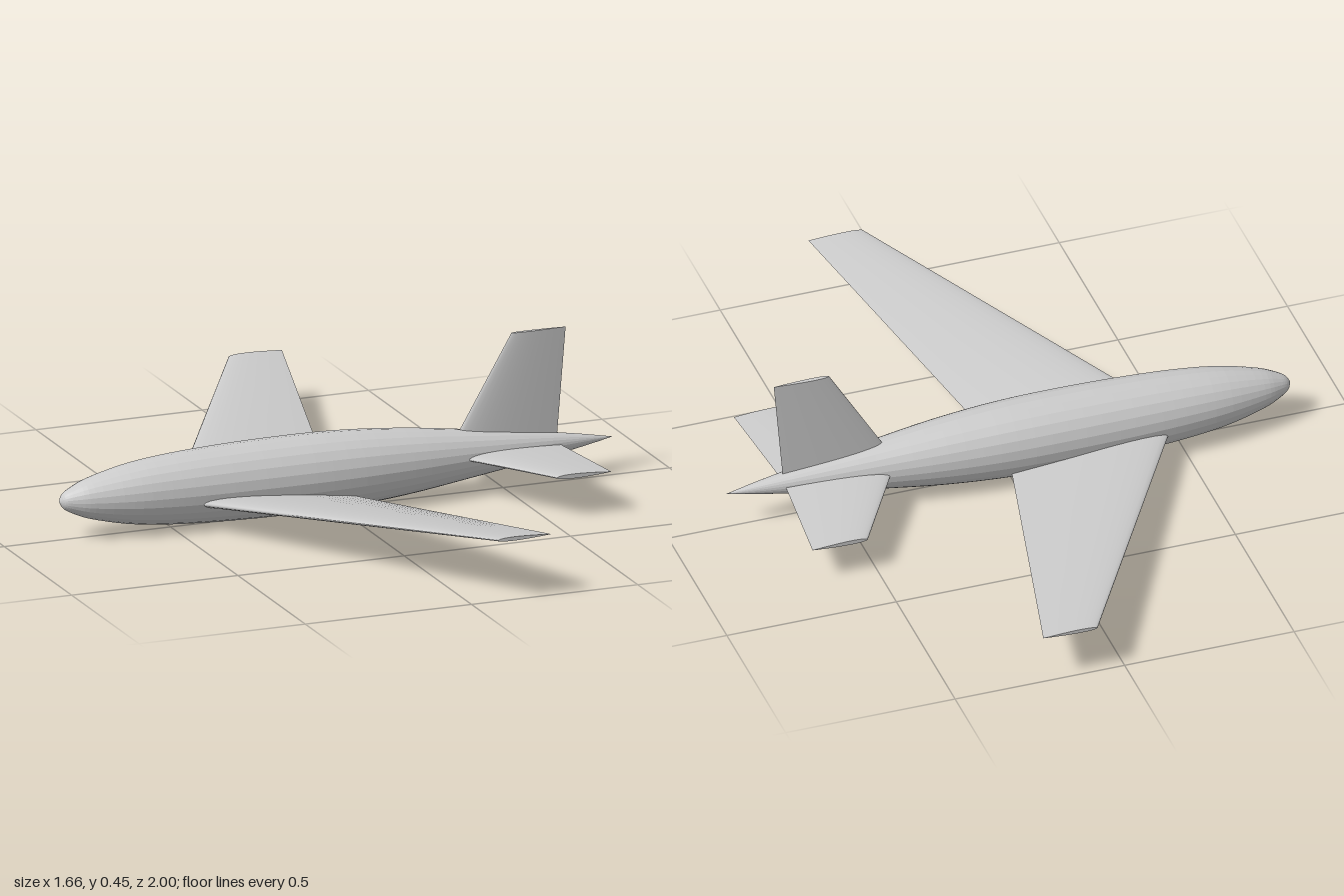
import * as THREE from 'three';

const smooth = new THREE.MeshStandardMaterial({ color: 0xcccccc });
const faceted = new THREE.MeshStandardMaterial({ color: 0xcccccc, flatShading: true });

// Half thickness of a symmetric aerofoil, as a share of full thickness, at chord position c
const aerofoil = (c) =>
  5 * (0.2969 * Math.sqrt(c) - 0.126 * c - 0.3516 * c * c + 0.2843 * c ** 3 - 0.1036 * c ** 4);

// Tapered panel lofted along z between two aerofoil sections { z, le: [x, y], te: [x, y], thick }
function panel(name, root, tip, side = 1) {
  const n = 32;
  const positions = [];
  const index = [];
  const tri = (a, b, c) => (side > 0 ? index.push(a, b, c) : index.push(a, c, b));
  const addRing = (s) => {
    for (let i = 0; i <= n; i++) {
      const a = (i / n) * Math.PI * 2;
      const c = 0.5 + 0.5 * Math.cos(a);
      const chord = s.te[0] - s.le[0];
      const half = aerofoil(c) * s.thick * chord * (i <= n / 2 ? 1 : -1);
      positions.push(
        s.le[0] + c * chord,
        s.le[1] + c * (s.te[1] - s.le[1]) + half,
        s.z * side
      );
    }
  };
  [root, tip, tip].forEach(addRing);
  const m = n + 1;
  // skin
  for (let i = 0; i < n; i++) {
    tri(i, i + 1, m + i);
    tri(i + 1, m + i + 1, m + i);
  }
  // flat tip
  const k = 2 * m;
  for (let i = 0; i < n / 2; i++) {
    tri(k + i, k + i + 1, k + n - i - 1);
    tri(k + i, k + n - i - 1, k + n - i);
  }
  const geometry = new THREE.BufferGeometry();
  geometry.setAttribute('position', new THREE.Float32BufferAttribute(positions, 3));
  geometry.setIndex(index);
  geometry.computeVertexNormals();
  const mesh = new THREE.Mesh(geometry, smooth);
  mesh.name = name;
  return mesh;
}

export function createModel() {
  const model = new THREE.Group();
  model.name = 'airplane';

  // everything is built around the fuselage axis, with a slight roll
  const airframe = new THREE.Group();
  airframe.name = 'airframe';
  airframe.position.y = 0.112;
  airframe.rotation.x = -0.015;
  model.add(airframe);

  // fuselage: [radius, x] from nose to tail
  const profile = new THREE.SplineCurve([
    [0, -0.835], [0.021, -0.823], [0.038, -0.795], [0.058, -0.745], [0.083, -0.64],
    [0.097, -0.53], [0.106, -0.39], [0.111, -0.2], [0.109, 0], [0.094, 0.2],
    [0.068, 0.4], [0.04, 0.6], [0.019, 0.73], [0, 0.83],
  ].map(([r, x]) => new THREE.Vector2(r, x)));
  const points = profile.getPoints(52).map((p) => new THREE.Vector2(Math.max(p.x, 0), p.y));
  const fuselage = new THREE.Mesh(new THREE.LatheGeometry(points, 24), faceted);
  fuselage.name = 'fuselage';
  fuselage.rotation.z = -Math.PI / 2;
  airframe.add(fuselage);

  // swept wings with dihedral and washout
  const wingRoot = { z: 0, le: [-0.498, -0.035], te: [-0.005, -0.066], thick: 0.08 };
  const wingTip = { z: 1, le: [0.08, 0.05], te: [0.24, 0.051], thick: 0.07 };

  // tailplanes and fin share one outline
  const tailRoot = { z: 0, le: [0.327, 0.003], te: [0.66, 0.003], thick: 0.08 };
  const tailTip = { z: 0.335, le: [0.527, 0.003], te: [0.69, 0.003], thick: 0.08 };

  for (const [label, side] of [['left', 1], ['right', -1]]) {
    airframe.add(panel(label + 'Wing', wingRoot, wingTip, side));
    airframe.add(panel(label + 'Tailplane', tailRoot, tailTip, side));
  }

  const fin = panel('fin', { ...tailRoot, le: [0.327, 0], te: [0.66, 0] },
    { ...tailTip, le: [0.527, 0], te: [0.69, 0] });
  fin.rotation.x = -Math.PI / 2;
  airframe.add(fin);

  return model;
}
